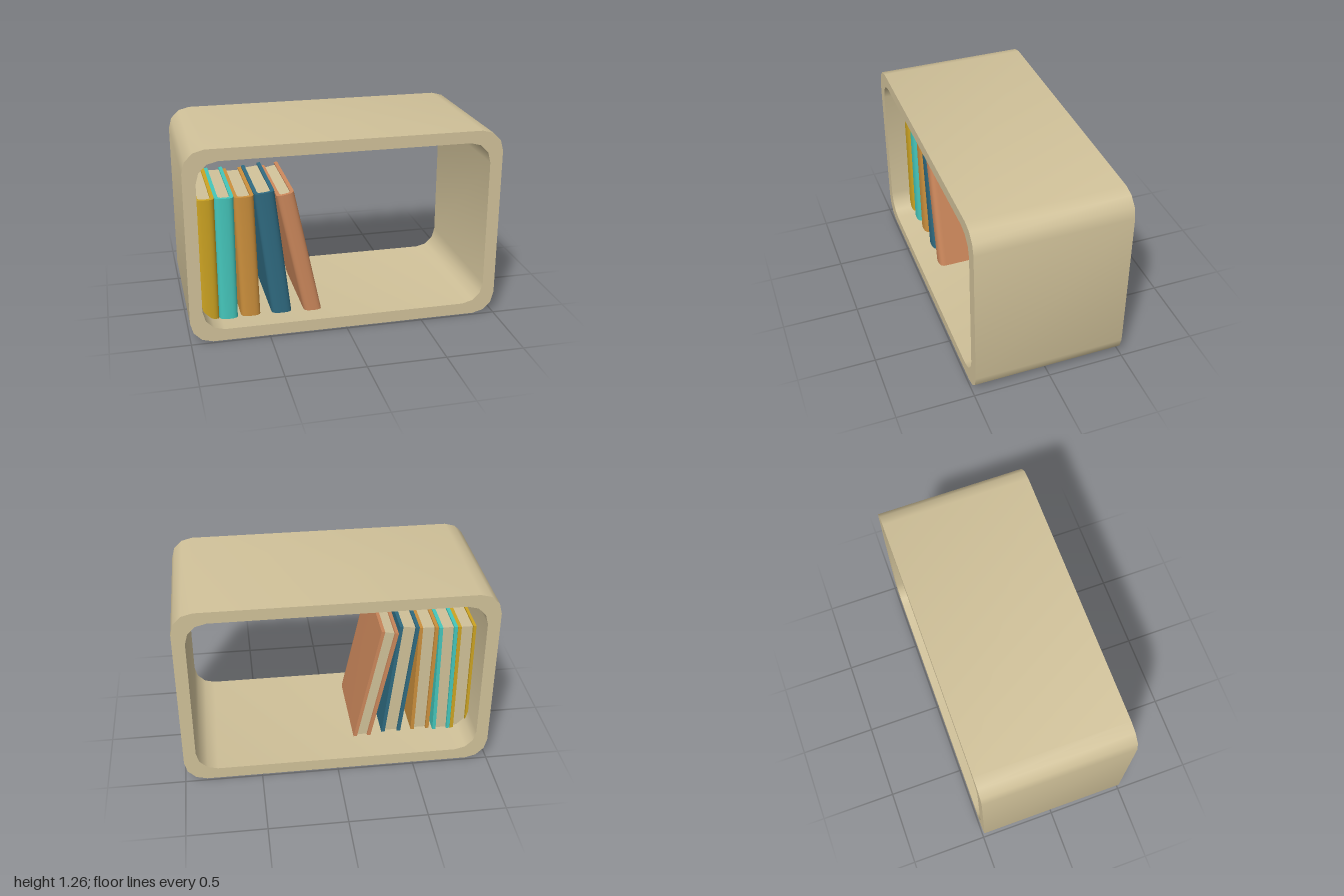
import * as THREE from 'three';
import { toCreasedNormals } from 'three/addons/utils/BufferGeometryUtils.js';

const material = (name, color) => {
  const m = new THREE.MeshStandardMaterial({ color });
  m.name = name;
  return m;
};

// Rounded rectangle with three facets per corner
function roundedRect(x0, y0, x1, y1, r, steps = 3) {
  const corners = [[x1 - r, y0 + r, -90], [x1 - r, y1 - r, 0], [x0 + r, y1 - r, 90], [x0 + r, y0 + r, 180]];
  const pts = [];
  for (const [cx, cy, start] of corners) {
    for (let i = 0; i <= steps; i++) {
      const a = THREE.MathUtils.degToRad(start + (90 * i) / steps);
      pts.push(new THREE.Vector2(cx + r * Math.cos(a), cy + r * Math.sin(a)));
    }
  }
  return pts;
}

// Open U in plan: back edge, around the rounded spine, to the back edge again (shape y = -z)
function spineOutline(halfWidth, front, back, bulge) {
  const pts = [new THREE.Vector2(-halfWidth, -back)];
  const steps = 12;
  for (let i = 0; i <= steps; i++) {
    const a = (Math.PI * i) / steps;
    const c = Math.cos(a);
    const x = -Math.sign(c) * Math.abs(c) ** 0.7 * halfWidth;
    const z = front - bulge + bulge * Math.max(0, Math.sin(a)) ** 0.7;
    pts.push(new THREE.Vector2(x, -z));
  }
  pts.push(new THREE.Vector2(halfWidth, -back));
  return pts;
}

function extrude(points, depth, hole) {
  const shape = new THREE.Shape(points);
  if (hole) shape.holes.push(new THREE.Path(hole));
  const geometry = new THREE.ExtrudeGeometry(shape, { depth, bevelEnabled: false });
  return toCreasedNormals(geometry, 0.7);
}

function createBook({ name, mat, x, top, tilt, width, height, front, back }, pageMat) {
  const book = new THREE.Group();
  book.name = name;
  const board = 0.023;
  const half = width / 2;

  // Cover wraps the spine and both boards
  const outer = spineOutline(half, front, back, 0.045);
  const inner = spineOutline(half - board, front - board, back, 0.03);
  const cover = new THREE.Mesh(extrude([...outer, ...inner.reverse()], height), mat);
  cover.name = 'cover';

  // Page block sits slightly inside the cover
  const inset = 0.012;
  const block = spineOutline(half - board, front - board, back + 0.02, 0.03);
  const pages = new THREE.Mesh(extrude(block, height - 2 * inset), pageMat);
  pages.name = 'pages';
  pages.geometry.translate(0, 0, inset);

  // Stand upright with the top centre at the origin, then lean
  for (const mesh of [cover, pages]) {
    mesh.geometry.rotateX(-Math.PI / 2).translate(0, -height, 0);
    book.add(mesh);
  }
  book.position.set(x, top, 0);
  book.rotation.z = THREE.MathUtils.degToRad(tilt);
  return book;
}

export function createModel() {
  const model = new THREE.Group();
  model.name = 'bookShelf';

  const cream = material('cream', 0xd0c199);
  const gold = material('gold', 0xcca322);
  const teal = material('teal', 0x45c6bb);
  const ochre = material('ochre', 0xcb8f3c);
  const blue = material('blue', 0x2f6a80);
  const terracotta = material('terracotta', 0xcb875b);

  // Open box frame
  const frame = new THREE.Mesh(
    extrude(roundedRect(-1, 0.005, 1, 1.262, 0.14), 0.98, roundedRect(-0.92, 0.082, 0.92, 1.186, 0.135)),
    cream
  );
  frame.geometry.translate(0, 0, -0.49);
  frame.name = 'shelfFrame';
  model.add(frame);

  // Row of books leaning against the left wall
  const books = [
    { name: 'goldBook', mat: gold, x: -0.863, top: 0.9, tilt: 0, width: 0.124, height: 0.895, front: 0.365, back: -0.265 },
    { name: 'tealBook', mat: teal, x: -0.741, top: 0.9, tilt: 0, width: 0.12, height: 0.89, front: 0.36, back: -0.26 },
    { name: 'ochreBook', mat: ochre, x: -0.618, top: 0.895, tilt: 1.5, width: 0.126, height: 0.893, front: 0.35, back: -0.24 },
    { name: 'blueBook', mat: blue, x: -0.49, top: 0.911, tilt: 6.5, width: 0.13, height: 0.88, front: 0.35, back: -0.245 },
    { name: 'terracottaBook', mat: terracotta, x: -0.36, top: 0.895, tilt: 11.6, width: 0.114, height: 0.86, front: 0.36, back: -0.27 },
  ];
  for (const spec of books) model.add(createBook(spec, cream));

  return model;
}
